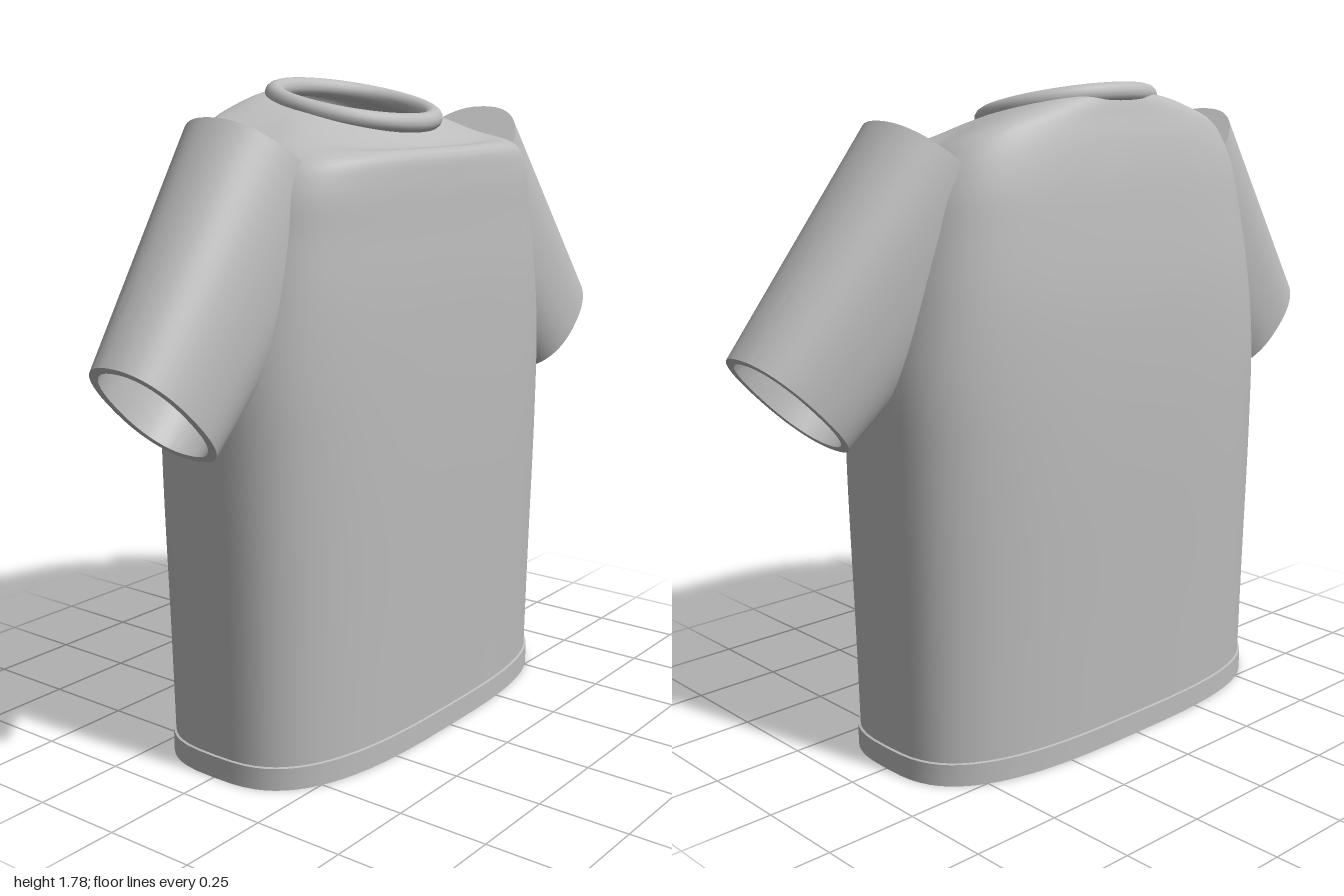
import * as THREE from 'three';
import { toCreasedNormals } from 'three/addons/utils/BufferGeometryUtils.js';

const SEG = 72;

// Closed superellipse ring: place(c, s) turns the rounded cos/sin pair into a point
function ring(n, place) {
  const pts = [];
  for (let j = 0; j < SEG; j++) {
    const t = (j / SEG) * Math.PI * 2;
    const f = (v) => Math.sign(v) * Math.pow(Math.abs(v), 2 / n);
    pts.push(place(f(Math.cos(t)), f(Math.sin(t)), Math.sin(t)));
  }
  return pts;
}

// Smooths a stack of rings with a curve through every column
function smoothRings(rings, steps) {
  const columns = rings[0].map((_, j) =>
    new THREE.CatmullRomCurve3(rings.map((r) => r[j])).getPoints(steps));
  return Array.from({ length: steps + 1 }, (_, i) => columns.map((c) => c[i]));
}

// Skins a stack of rings
function loft(rings, crease = 0.7) {
  const pos = [], idx = [];
  rings.forEach((r) => r.forEach((p) => pos.push(p.x, p.y, p.z)));
  for (let i = 0; i < rings.length - 1; i++) {
    for (let j = 0; j < SEG; j++) {
      const k = (j + 1) % SEG;
      const a = i * SEG + j, b = i * SEG + k, c = a + SEG, d = b + SEG;
      idx.push(a, c, b, b, c, d);
    }
  }
  const g = new THREE.BufferGeometry();
  g.setAttribute('position', new THREE.Float32BufferAttribute(pos, 3));
  g.setIndex(idx);
  return toCreasedNormals(g, crease);
}

// Torso sections: half width, front z, back z, y at side, front, back, squareness
const TORSO = [
  [0.632, 0.306, 0.306, 0.0, 0.0, 0.0, 3],
  [0.637, 0.313, 0.314, 0.35, 0.35, 0.35, 3],
  [0.645, 0.323, 0.325, 0.8, 0.8, 0.8, 3],
  [0.642, 0.325, 0.326, 1.05, 1.05, 1.05, 3],
  [0.615, 0.324, 0.32, 1.25, 1.25, 1.25, 3],
  [0.585, 0.318, 0.304, 1.4, 1.4, 1.42, 3],
  [0.56, 0.312, 0.287, 1.5, 1.53, 1.55, 3],
  [0.525, 0.302, 0.268, 1.57, 1.588, 1.64, 3],
  [0.49, 0.282, 0.252, 1.605, 1.603, 1.695, 2.9],
  [0.4, 0.245, 0.242, 1.645, 1.604, 1.73, 2.6],
  [0.31, 0.21, 0.234, 1.68, 1.62, 1.748, 2.3],
  [0.235, 0.178, 0.222, 1.7, 1.645, 1.752, 2],
];

function torsoRings(inset) {
  const rings = TORSO.map(([rx, zf, zb, ys, yf, yb, n], i) => {
    const k = i === TORSO.length - 1 ? 0 : inset;
    const drop = i > 7 ? k : 0;
    return ring(n, (c, s, raw) => new THREE.Vector3(
      c * (rx - k),
      THREE.MathUtils.lerp(ys, raw > 0 ? yf : yb, Math.abs(raw)) - drop,
      s * ((s > 0 ? zf : zb) - k)));
  });
  return smoothRings(rings, 70);
}

// Sleeve tube with wall thickness, open at the cuff and closed at the shoulder
function sleeveGeometry(side) {
  const ends = { cuff: [0.865, 1.015, 0.05, 0.135, 0.135, 0.14], top: [0.4, 1.522, 0.004, 0.203, 0.168, 0.186] };
  const section = (t, inset) => {
    const [x, y, z, ux, uy, w] = ends.cuff.map((v, i) => THREE.MathUtils.lerp(v, ends.top[i], t));
    const k = 1 - inset / Math.hypot(ux, uy), kz = 1 - inset / w;
    return ring(2.3, (c, s) => new THREE.Vector3(side * (x + ux * c * k), y + uy * c * k, z + w * s * kz));
  };
  const steps = Array.from({ length: 13 }, (_, i) => i / 12);
  const rings = [
    ...steps.slice().reverse().map((t) => section(t, 0.022)),
    ...steps.map((t) => section(t, 0)),
    ring(2, () => new THREE.Vector3(side * ends.top[0], ends.top[1], ends.top[2])),
  ];
  return loft(side > 0 ? rings : rings.reverse());
}

export function createModel() {
  const fabric = new THREE.MeshStandardMaterial({ color: 0xbcbcbc, side: THREE.DoubleSide });
  fabric.name = 'light grey fabric';
  const shirt = new THREE.Group();
  shirt.name = 'shirt';
  const add = (name, geometry) => {
    const mesh = new THREE.Mesh(geometry, fabric);
    mesh.name = name;
    shirt.add(mesh);
  };

  // Body: outer cloth up to the neck, then the lining back down
  add('torso', loft([...torsoRings(0), ...torsoRings(0.015).reverse()]));

  // Hem band around the bottom edge
  const hem = (y, grow) => ring(3, (c, s) =>
    new THREE.Vector3(c * (0.633 + grow), y, s * (0.307 + grow)));
  add('hem', loft([hem(0.062, -0.02), hem(0, -0.02), hem(0, 0.006), hem(0.06, 0.006), hem(0.062, 0)]));

  // Ribbed neckline, tilted down towards the front
  const neck = new THREE.CatmullRomCurve3(
    Array.from({ length: 32 }, (_, i) => {
      const t = (i / 32) * Math.PI * 2, s = Math.sin(t);
      return new THREE.Vector3(Math.cos(t) * 0.232, 1.707 - s * 0.045, -0.025 + s * 0.202);
    }), true);
  add('collar', new THREE.TubeGeometry(neck, 96, 0.026, 14, true));

  // Sleeves
  add('leftSleeve', sleeveGeometry(1));
  add('rightSleeve', sleeveGeometry(-1));
  return shirt;
}
